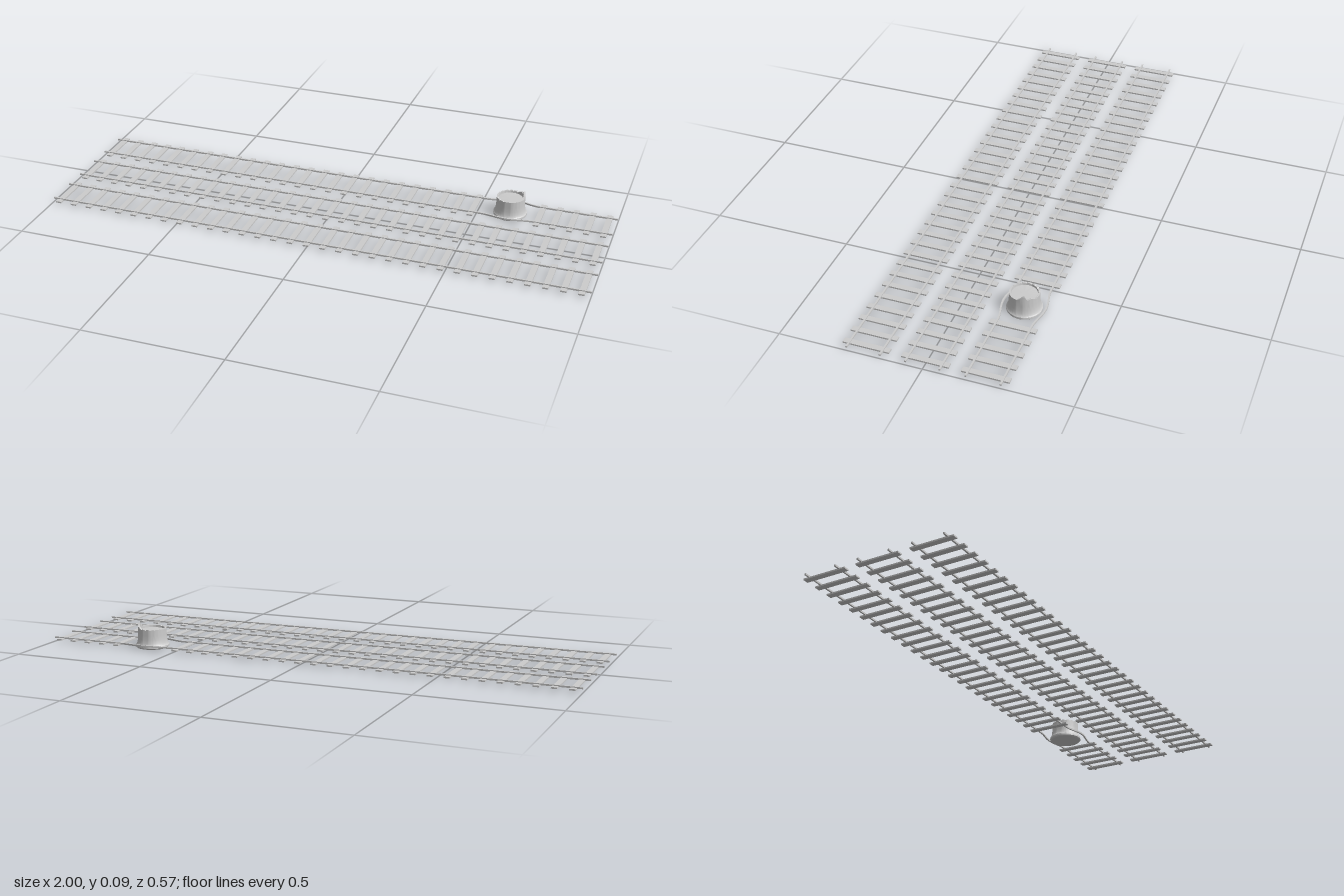
import * as THREE from 'three';
import { toCreasedNormals } from 'three/addons/utils/BufferGeometryUtils.js';

const grey = new THREE.MeshStandardMaterial({ color: 0xcccccc });
const STUMP = { x: 0.617, z: -0.203 };
const PITCH = 0.0606;

function add(parent, name, geometry, x, y, z) {
  const mesh = new THREE.Mesh(geometry, grey);
  mesh.name = name;
  mesh.position.set(x, y, z);
  parent.add(mesh);
}

// Rail along x; bulge pushes it sideways around the stump
function railGeometry(bulge) {
  const g = new THREE.BoxGeometry(2, 0.006, 0.006, bulge ? 160 : 1, 1, 1);
  const p = g.attributes.position;
  for (let i = 0; i < p.count; i++) {
    const d = Math.min(1, Math.abs(p.getX(i) - STUMP.x) / 0.1);
    const k = 0.5 + 0.5 * Math.cos(Math.PI * d);
    p.setZ(i, p.getZ(i) + bulge * k);
    p.setY(i, p.getY(i) + (bulge ? 0.002 * k : 0));
  }
  return toCreasedNormals(g, 0.6);
}

function track(name, z, bent) {
  const group = new THREE.Group();
  group.name = name;
  group.position.z = z;
  const sleeper = new THREE.BoxGeometry(0.021, 0.0055, 0.161);
  for (let i = -16; i <= 16; i++) {
    const x = i * PITCH;
    if (bent && Math.abs(x - STUMP.x) < 0.09) continue;
    add(group, 'sleeper', sleeper, x, 0.0118, 0);
  }
  for (const s of [-1, 1])
    add(group, 'rail', railGeometry(bent ? s * 0.016 : 0), 0, 0.015, s * 0.058);
  return group;
}

// Broken rim height by angle in degrees: a tall splinter, a low bump, small notches
const RIM = [[0, 0.072], [81, 0.073], [109, 0.092], [119, 0.075], [135, 0.079], [155, 0.072], [360, 0.072]];
function rimHeight(deg) {
  const i = RIM.findIndex((r, k) => k > 0 && deg <= r[0] + 1e-6);
  const [a, ya] = RIM[i - 1], [b, yb] = RIM[i];
  const notch = deg > 160 && Math.round(deg / 5) % 4 === 0 ? -0.003 : 0;
  return ya + (yb - ya) * (deg - a) / (b - a) + notch;
}

function stumpGeometry() {
  const profile = [
    [0, 0], [0.057, 0], [0.061, 0.004], [0.061, 0.011], [0.058, 0.014], [0.055, 0.022],
    [0.053, 0.034], [0.052, 0.05], [0.0515, 0.072], [0.045, 0.072], [0.044, 0.064], [0, 0.065],
  ].map(([r, y]) => new THREE.Vector2(r, y));
  const g = new THREE.LatheGeometry(profile, 72);
  const p = g.attributes.position;
  for (let i = 0; i < p.count; i++) {
    if (p.getY(i) < 0.07) continue;
    const deg = THREE.MathUtils.radToDeg(Math.atan2(p.getX(i), p.getZ(i)));
    p.setY(i, rimHeight((deg + 360) % 360));
  }
  return toCreasedNormals(g, 0.6);
}

export function createModel() {
  const model = new THREE.Group();
  model.name = 'railwayTracks';
  model.add(track('frontTrack', 0.203, false));
  model.add(track('middleTrack', 0, false));
  model.add(track('backTrack', -0.203, true));
  add(model, 'stump', stumpGeometry(), STUMP.x, 0, STUMP.z);
  return model;
}
